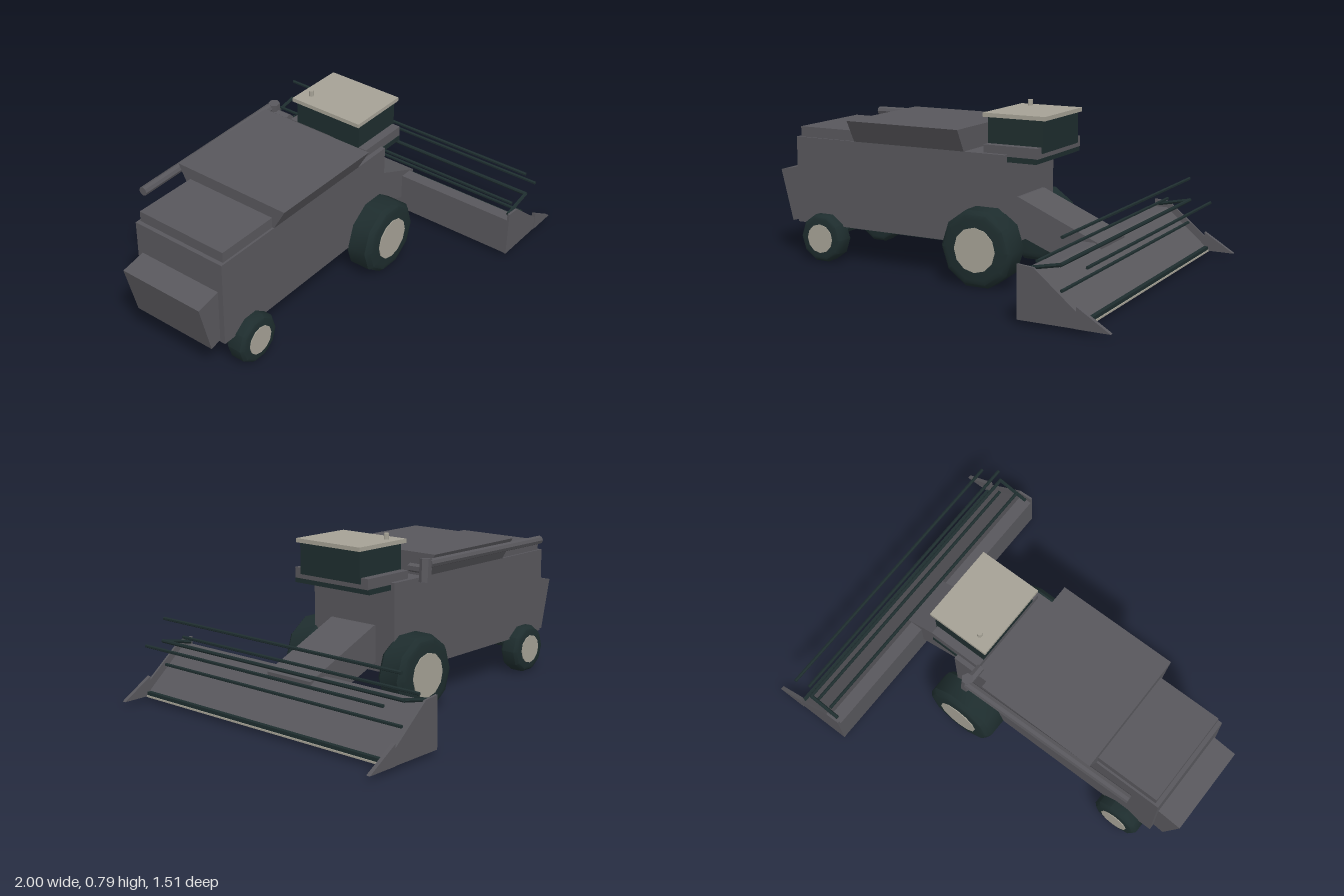
import * as THREE from 'three';
import { toCreasedNormals } from 'three/addons/utils/BufferGeometryUtils.js';

export function createModel() {
  const model = new THREE.Group();
  model.name = 'combineHarvester';

  const makeMaterial = (name, color) => {
    const m = new THREE.MeshStandardMaterial({ color });
    m.name = name;
    return m;
  };
  const grey = makeMaterial('bodyGrey', 0x58575c);
  const dark = makeMaterial('darkTeal', 0x1e2d2e);
  const beige = makeMaterial('paleBeige', 0xa5a195);

  const add = (name, geometry, material, parent = model) => {
    const mesh = new THREE.Mesh(geometry, material);
    mesh.name = name;
    parent.add(mesh);
    return mesh;
  };
  // Box given by its limits on each axis
  const box = (name, material, [x0, x1], [y0, y1], [z0, z1], parent) => {
    const g = new THREE.BoxGeometry(x1 - x0, y1 - y0, z1 - z0);
    g.translate((x0 + x1) / 2, (y0 + y1) / 2, (z0 + z1) / 2);
    return add(name, g, material, parent);
  };
  // Side outline extruded between two z limits
  const prism = (name, material, outline, z0, z1, parent) => {
    const shape = new THREE.Shape(outline.map(([x, y]) => new THREE.Vector2(x, y)));
    const g = new THREE.ExtrudeGeometry(shape, { depth: z1 - z0, bevelEnabled: false });
    g.translate(0, 0, z0);
    return add(name, g, material, parent);
  };
  // Round bar between two points
  const rod = (name, material, a, b, radius, sides = 6, parent = model) => {
    const start = new THREE.Vector3(...a), end = new THREE.Vector3(...b);
    const dir = end.clone().sub(start);
    const g = toCreasedNormals(new THREE.CylinderGeometry(radius, radius, dir.length(), sides), 0.5);
    const mesh = add(name, g, material, parent);
    mesh.position.copy(start).add(end).multiplyScalar(0.5);
    mesh.quaternion.setFromUnitVectors(new THREE.Vector3(0, 1, 0), dir.normalize());
    return mesh;
  };

  // Main body, rear deck and underside
  box('body', grey, [-0.88, 0.26], [0.17, 0.59], [-0.245, 0.245]);
  box('rearDeck', grey, [-0.86, -0.54], [0.59, 0.64], [-0.235, 0.235]);
  box('underside', dark, [-0.84, 0.22], [0.16, 0.172], [-0.215, 0.215]);
  prism('rearHood', grey, [[-0.88, 0.18], [-0.88, 0.44], [-1, 0.415], [-0.935, 0.165]], -0.218, 0.218);

  // Grain tank, flared to both sides
  const tank = prism('grainTank', grey, [[-0.245, 0.59], [0.245, 0.59], [0.303, 0.695], [-0.303, 0.695]], -0.545, 0.05);
  tank.geometry.rotateY(Math.PI / 2);

  // Unloading tube folded back along the right side
  const unloader = new THREE.Group();
  unloader.name = 'unloadingTube';
  model.add(unloader);
  rod('tube', grey, [-0.765, 0.66, -0.308], [0.12, 0.668, -0.325], 0.021, 8, unloader);
  rod('elbow', grey, [0.125, 0.69, -0.312], [0.135, 0.585, -0.315], 0.028, 6, unloader);
  rod('elbowLink', grey, [0.125, 0.64, -0.22], [0.125, 0.64, -0.31], 0.02, 6, unloader);

  // Cab
  const cab = new THREE.Group();
  cab.name = 'cab';
  model.add(cab);
  box('platform', dark, [0.24, 0.405], [0.556, 0.58], [-0.225, 0.225], cab);
  box('cabBase', grey, [0.14, 0.408], [0.578, 0.627], [-0.222, 0.222], cab);
  box('cabGlass', dark, [0.14, 0.416], [0.6, 0.747], [-0.18, 0.18], cab);
  box('roof', beige, [0.118, 0.43], [0.746, 0.765], [-0.192, 0.192], cab);
  rod('beacon', beige, [0.19, 0.76, -0.137], [0.19, 0.793, -0.137], 0.012, 8, cab);

  // Wheels: ten-sided chamfered tyres with pale rims
  const wheel = (name, x, radius, width, rimRadius, z, side) => {
    const group = new THREE.Group();
    group.name = name;
    const w = width / 2, y = radius * Math.cos(Math.PI / 10);
    const profile = [[0, -w], [radius * 0.78, -w], [radius * 0.9, -w * 0.94], [radius, -w * 0.66],
      [radius, w * 0.66], [radius * 0.9, w * 0.94], [radius * 0.78, w], [0, w]]
      .map(([r, h]) => new THREE.Vector2(r, h));
    const tyre = new THREE.LatheGeometry(profile, 10, Math.PI / 2);
    tyre.rotateX(Math.PI / 2);
    add('tyre', toCreasedNormals(tyre, 0.68), dark, group);
    const rim = new THREE.CylinderGeometry(rimRadius, rimRadius, 0.008, 12);
    rim.rotateX(Math.PI / 2);
    add('rim', rim, beige, group).position.z = side * w;
    group.position.set(x, y, side * z);
    model.add(group);
  };
  for (const side of [-1, 1]) {
    wheel('driveWheel', 0.172, 0.183, 0.152, 0.103, 0.288, side);
    wheel('steerWheel', -0.715, 0.118, 0.1, 0.07, 0.25, side);
  }
  rod('driveAxle', dark, [0.172, 0.18, -0.25], [0.172, 0.18, 0.25], 0.035, 8);
  rod('steerAxle', dark, [-0.715, 0.125, -0.23], [-0.715, 0.125, 0.23], 0.025, 8);

  // Sloping feeder between body and header
  prism('feeder', grey, [[0.24, 0.22], [0.6, 0.08], [0.68, 0.08], [0.68, 0.208], [0.27, 0.383], [0.24, 0.383]], -0.132, 0.132);

  // Header
  const header = new THREE.Group();
  header.name = 'header';
  model.add(header);
  prism('headerBed', grey, [[0.586, 0.022], [0.86, 0.022], [0.86, 0.035], [0.65, 0.215], [0.586, 0.215]], -0.745, 0.745, header);
  box('cutterBar', dark, [0.85, 0.872], [0.026, 0.042], [-0.735, 0.735], header);
  box('knife', beige, [0.84, 0.875], [0.017, 0.025], [-0.74, 0.74], header);
  for (const side of [-1, 1]) {
    const zs = (a, b) => (side > 0 ? [a, b] : [-b, -a]);
    prism('endPlate', grey, [[0.586, 0.02], [0.88, 0.02], [0.88, 0.065], [0.66, 0.245], [0.586, 0.252]],
      ...zs(0.742, 0.753), header);
    prism('cropDivider', grey, [[0.85, 0.02], [1, 0.02], [0.85, 0.112]], ...zs(0.737, 0.756), header);
    rod('reelArm', dark, [0.61, 0.232, side * 0.73], [0.77, 0.265, side * 0.73], 0.009, 6, header);
  }

  // Reel: central shaft and four bars around it
  const reel = new THREE.Group();
  reel.name = 'reel';
  header.add(reel);
  rod('reelShaft', dark, [0.77, 0.265, -0.735], [0.77, 0.265, 0.735], 0.009, 8, reel);
  for (let i = 0; i < 4; i++) {
    const a = i * Math.PI / 2;
    const x = 0.77 + 0.11 * Math.cos(a), y = 0.265 + 0.11 * Math.sin(a);
    rod('reelBar', dark, [x, y, -0.72], [x, y, 0.72], 0.008, 6, reel);
  }

  return model;
}
